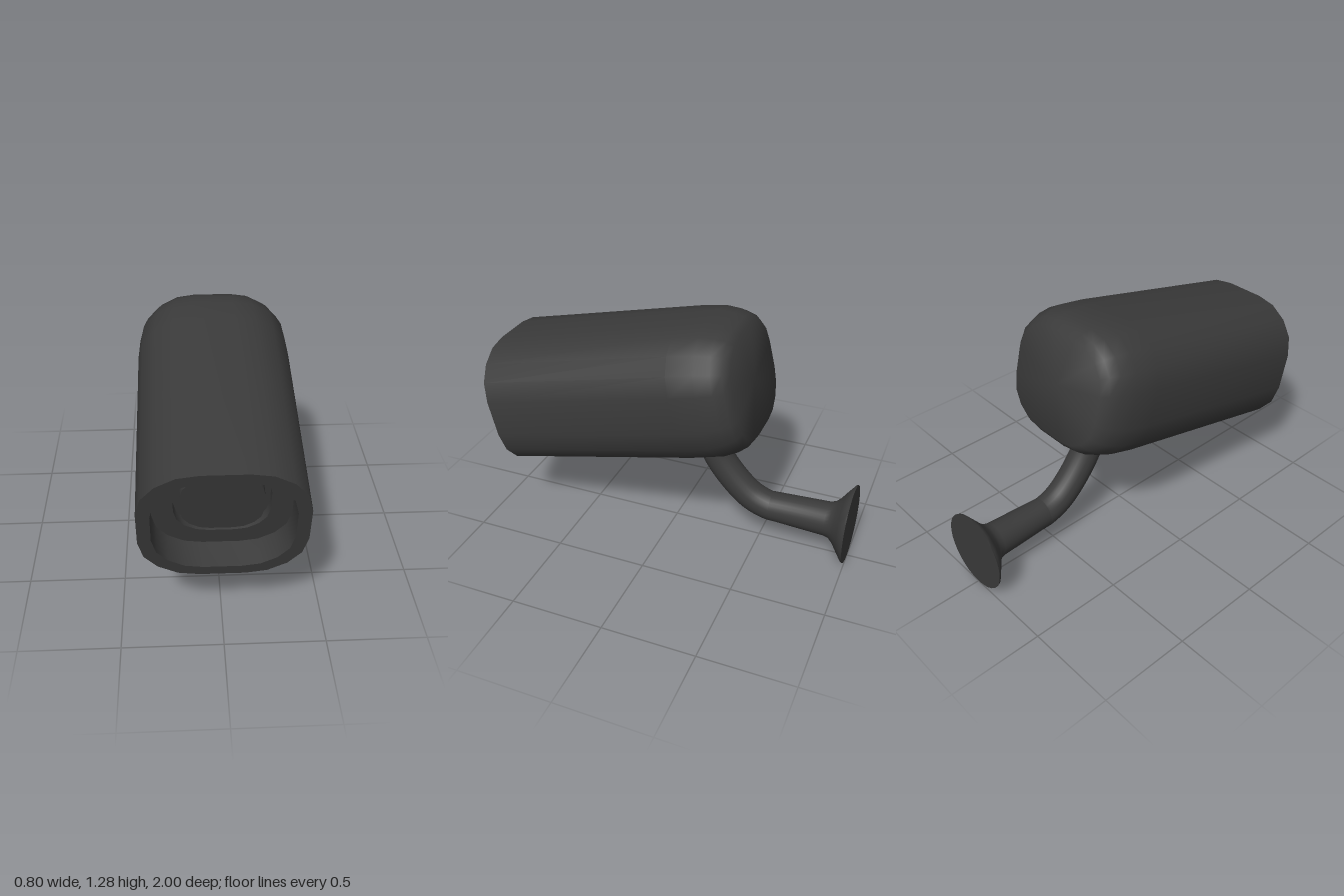
import * as THREE from 'three';
import { toCreasedNormals } from 'three/addons/utils/BufferGeometryUtils.js';

const material = new THREE.MeshStandardMaterial({ color: 0x3a3a3a });

function part(name, geometry) {
  const mesh = new THREE.Mesh(geometry, material);
  mesh.name = name;
  return mesh;
}

// Rounded 20-sided cross-section, mirrored from one quadrant
const quadrant = [[0.4, 0.1], [0.375, 0.205], [0.31, 0.285], [0.215, 0.34], [0.11, 0.357]];
const mirrored = [...quadrant].reverse();
const section = [
  ...quadrant,
  ...mirrored.map(([x, y]) => [-x, y]),
  ...quadrant.map(([x, y]) => [-x, -y]),
  ...mirrored.map(([x, y]) => [x, -y]),
];

// Skin scaled copies of the section; each ring is [distance behind the front, scale]
function loft(rings) {
  const n = section.length, positions = [], index = [];
  for (const [depth, scale] of rings)
    for (const [x, y] of section) positions.push(x * scale, y * scale, -depth);
  for (let r = 0; r < rings.length - 1; r++)
    for (let i = 0; i < n; i++) {
      const j = (i + 1) % n;
      const a = r * n + i, b = r * n + j, c = a + n, d = b + n;
      if (rings[r + 1][1] > 0) index.push(a, c, d);
      if (rings[r][1] > 0) index.push(a, d, b);
    }
  const geometry = new THREE.BufferGeometry();
  geometry.setAttribute('position', new THREE.Float32BufferAttribute(positions, 3));
  geometry.setIndex(index);
  return toCreasedNormals(geometry, 1.1);
}

export function createModel() {
  const model = new THREE.Group();
  model.name = 'securityCamera';

  // Camera head, tilted down towards the front
  const head = new THREE.Group();
  head.name = 'head';
  head.position.set(0, 0.657, 0.917);
  head.rotation.x = 0.233;
  head.add(part('housing', loft([
    [0.2, 0], [0.2, 0.58], [0.15, 0.58], [0.15, 0.84], [0, 0.84], [0, 1],
    [1.08, 1], [1.22, 0.98], [1.3, 0.925], [1.35, 0.86], [1.38, 0.775], [1.38, 0],
  ])));
  head.add(part('lens', loft([[0.14, 0], [0.14, 0.5], [0.2, 0.5]])));
  model.add(head);

  // Curved bracket arm under the head
  const bend = new THREE.CatmullRomCurve3([
    [0.7, -0.2], [0.58, -0.205], [0.48, -0.24], [0.34, -0.345],
    [0.25, -0.45], [0.213, -0.55], [0.213, -0.6],
  ].map(([y, z]) => new THREE.Vector3(0, y, z)));
  model.add(part('arm', new THREE.TubeGeometry(bend, 32, 0.081, 24)));

  // Straight arm end flaring into the wall plate
  const profile = [
    [0.081, 0], [0.094, 0.31], [0.102, 0.34], [0.125, 0.365],
    [0.165, 0.395], [0.21, 0.43], [0.213, 0.44], [0, 0.44],
  ].map(([r, y]) => new THREE.Vector2(r, y));
  const plate = new THREE.LatheGeometry(profile, 32);
  plate.rotateX(-Math.PI / 2);
  const mount = part('wallMount', toCreasedNormals(plate, 0.9));
  mount.position.set(0, 0.214, -0.56);
  model.add(mount);

  return model;
}
